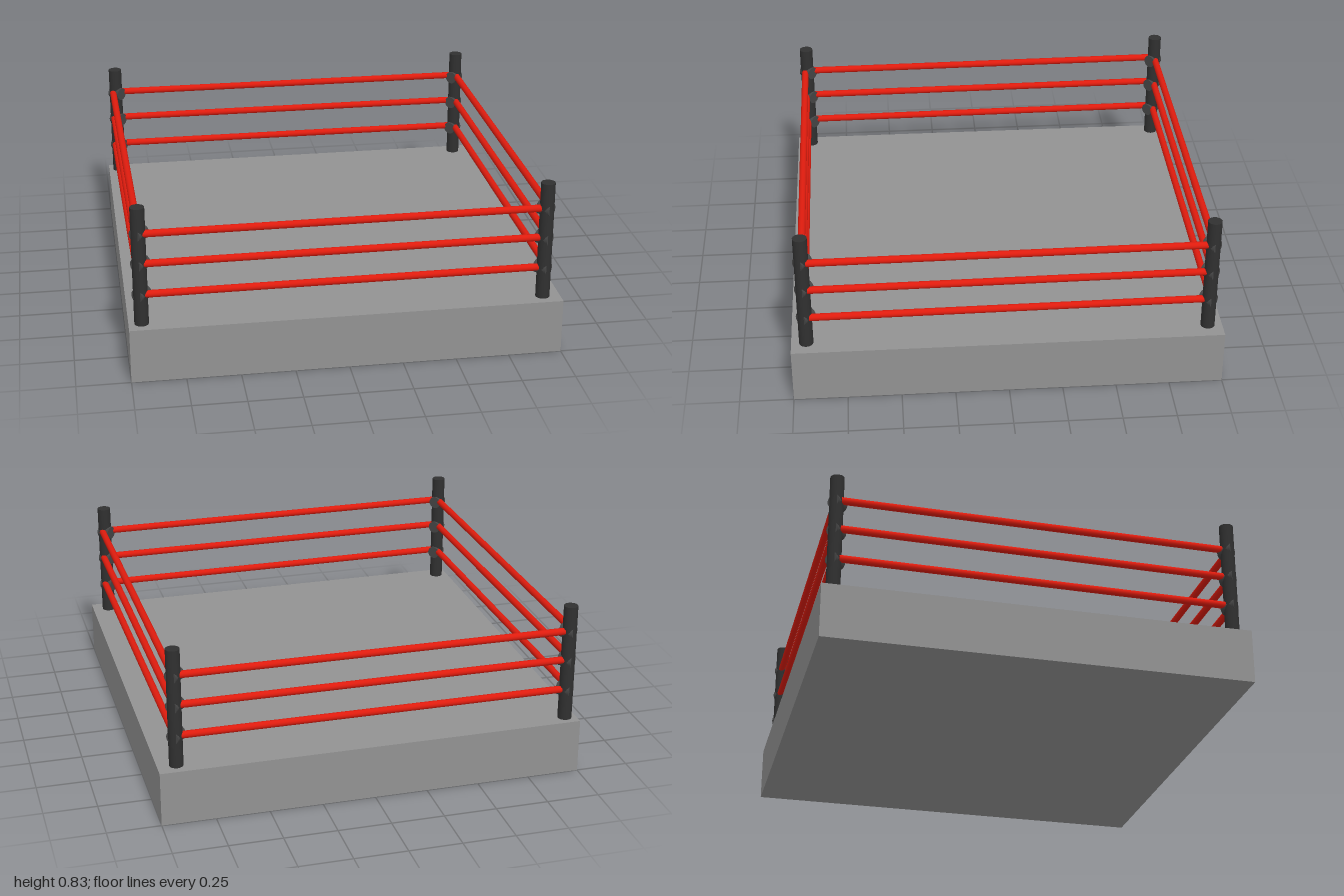
import * as THREE from 'three';

const mat = (color) => new THREE.MeshStandardMaterial({ color });

export function createModel() {
  const ring = new THREE.Group();
  ring.name = 'ring';
  const grey = mat(0x929292), dark = mat(0x303030), steel = mat(0x454545), red = mat(0xe01c0e);

  const add = (name, geometry, material, x, y, z) => {
    const mesh = new THREE.Mesh(geometry, material);
    mesh.name = name;
    mesh.position.set(x, y, z);
    ring.add(mesh);
    return mesh;
  };
  const up = new THREE.Vector3(0, 1, 0);
  const ropeHeights = [0.41, 0.56, 0.705];

  // Platform
  const baseTop = 0.26, postTop = 0.83;
  add('platform', new THREE.BoxGeometry(2, baseTop, 2), grey, 0, baseTop / 2, 0);

  // Corner posts, each with a diagonal rope clamp at every rope height
  const corners = [[-0.945, -0.94], [0.912, -0.932], [0.918, 0.93], [-0.94, 0.93]];
  const postGeo = new THREE.CylinderGeometry(0.033, 0.033, postTop - baseTop, 16);
  const clampGeo = new THREE.CylinderGeometry(0.032, 0.032, 0.066, 16);
  for (const [x, z] of corners) {
    add('post', postGeo, dark, x, (baseTop + postTop) / 2, z);
    const inward = new THREE.Vector3(-Math.sign(x), 0, -Math.sign(z)).normalize();
    for (const y of ropeHeights) {
      const clamp = add('ropeClamp', clampGeo, steel, x + inward.x * 0.008, y - 0.005, z + inward.z * 0.008);
      clamp.quaternion.setFromUnitVectors(up, inward);
    }
  }

  // Three ropes on each side: start x, z and end x, z
  const spans = {
    frontRope: [-0.925, 0.94, 0.9, 0.93],
    backRope: [-0.925, -0.943, 0.9, -0.937],
    rightRope: [-0.96, -0.92, -0.938, 0.91],
    leftRope: [0.915, -0.91, 0.932, 0.91],
  };
  for (const [name, [x0, z0, x1, z1]] of Object.entries(spans)) {
    const along = new THREE.Vector3(x1 - x0, 0, z1 - z0);
    const ropeGeo = new THREE.CylinderGeometry(0.017, 0.017, along.length(), 12);
    along.normalize();
    for (const y of ropeHeights) {
      const rope = add(name, ropeGeo, red, (x0 + x1) / 2, y, (z0 + z1) / 2);
      rope.quaternion.setFromUnitVectors(up, along);
    }
  }
  return ring;
}
